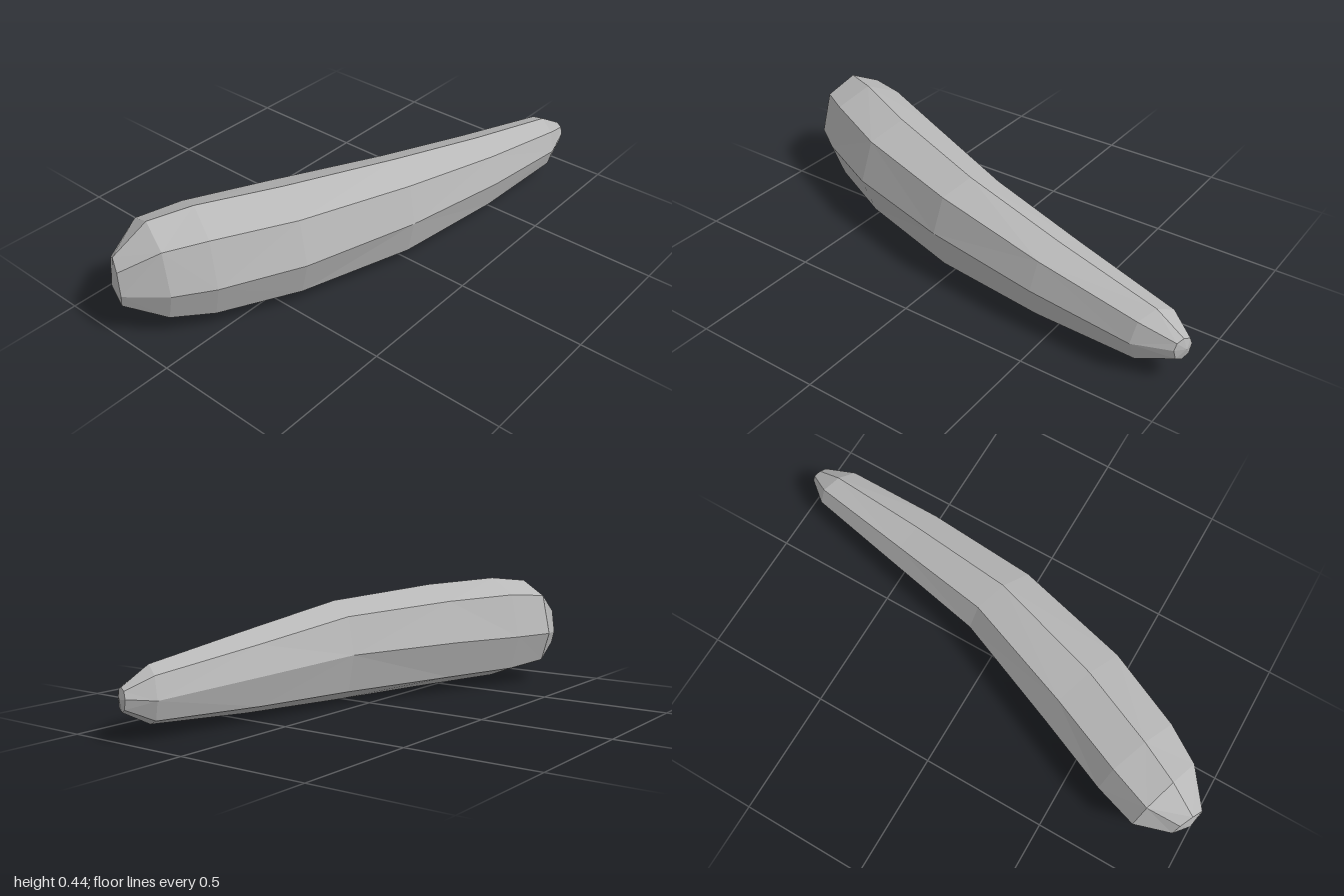
import * as THREE from 'three';

// Cross-sections along the bend: back x, back z, front x, front z, lowest y, highest y, side y
const SECTIONS = [
  [-0.94, -0.32, -1.0, -0.2, 0.13, 0.32, 0.2],
  [-0.8, -0.365, -0.9, -0.06, 0.05, 0.425, 0.21],
  [-0.63, -0.31, -0.77, 0.03, 0.022, 0.443, 0.21],
  [-0.34, -0.185, -0.48, 0.17, 0.01, 0.43, 0.21],
  [0.1, 0.0, -0.03, 0.29, 0.0, 0.393, 0.2],
  [0.5, 0.09, 0.43, 0.345, 0.014, 0.318, 0.17],
  [0.92, 0.185, 0.83, 0.36, 0.042, 0.248, 0.14],
  [1.0, 0.25, 0.97, 0.32, 0.1, 0.185, 0.15],
];
const SIDES = 8;

// Point on a slightly squared oval section
function sectionPoint([bx, bz, fx, fz, low, high, mid], j) {
  const a = (j / SIDES) * Math.PI * 2;
  const soft = (v) => Math.sign(v) * Math.pow(Math.abs(v), 0.88);
  const c = soft(Math.cos(a)), s = soft(Math.sin(a));
  return [
    (bx + fx) / 2 + (c * (fx - bx)) / 2,
    mid + (s > 0 ? s * (high - mid) : s * (mid - low)),
    (bz + fz) / 2 + (c * (fz - bz)) / 2,
  ];
}

function bodyGeometry() {
  const pos = [], index = [];
  SECTIONS.forEach((sec) => {
    for (let j = 0; j < SIDES; j++) pos.push(...sectionPoint(sec, j));
  });
  const last = SECTIONS.length - 1;
  const at = (i, j) => i * SIDES + (j % SIDES);
  const leftTip = pos.length / 3, rightTip = leftTip + 1;
  pos.push(-0.985, 0.21, -0.268, 0.998, 0.145, 0.282);

  for (let j = 0; j < SIDES; j++) {
    for (let i = 0; i < last; i++) {
      const a = at(i, j), b = at(i + 1, j), c = at(i + 1, j + 1), d = at(i, j + 1);
      // Alternate the diagonals for an irregular faceted skin
      if ((i + j) % 2) index.push(a, b, d, b, c, d);
      else index.push(a, b, c, a, c, d);
    }
    index.push(leftTip, at(0, j), at(0, j + 1));
    index.push(rightTip, at(last, j + 1), at(last, j));
  }
  const geo = new THREE.BufferGeometry();
  geo.setAttribute('position', new THREE.Float32BufferAttribute(pos, 3));
  geo.setIndex(index);
  const flat = geo.toNonIndexed();
  flat.computeVertexNormals();
  return flat;
}

export function createModel() {
  const group = new THREE.Group();
  group.name = 'curvedLog';
  const grey = new THREE.MeshStandardMaterial({ color: 0xb8b8b8, flatShading: true });
  grey.name = 'light grey';
  const body = new THREE.Mesh(bodyGeometry(), grey);
  body.name = 'body';
  group.add(body);
  return group;
}
